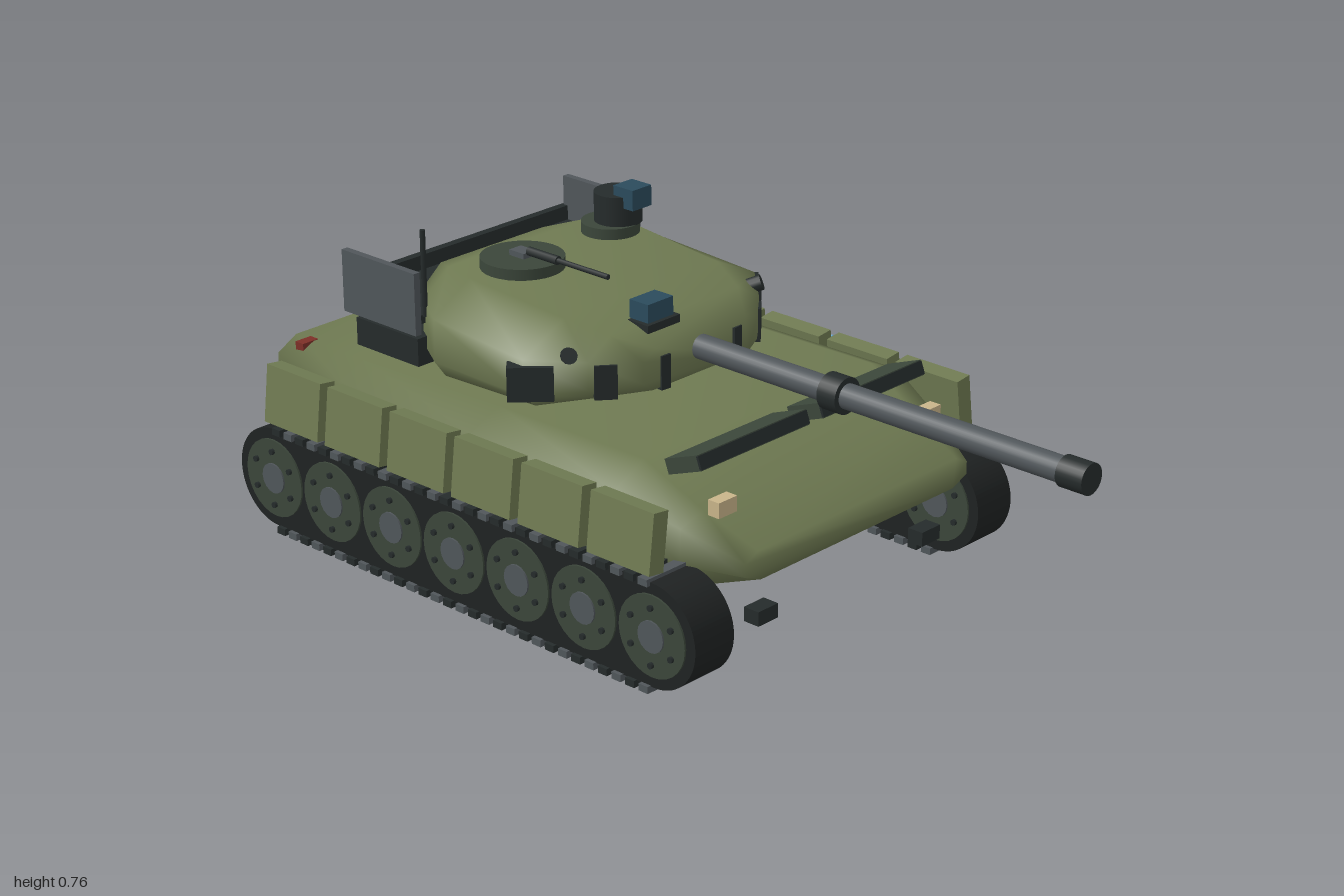
import * as THREE from 'three';

const mat = (color) => new THREE.MeshStandardMaterial({ color });
const olive = mat(0x6f7a52), darkGreen = mat(0x3b463a), black = mat(0x252b2b), rubber = mat(0x1f2222);
const steel = mat(0x50565a), glass = mat(0x2b4b5c), skyBlue = mat(0x6aaed6), lamp = mat(0xc8b48a), red = mat(0x7c2f27);

function add(parent, name, geometry, material, x = 0, y = 0, z = 0) {
  const mesh = new THREE.Mesh(geometry, material);
  mesh.name = name;
  mesh.position.set(x, y, z);
  parent.add(mesh);
  return mesh;
}
const box = (w, h, d) => new THREE.BoxGeometry(w, h, d);
const cyl = (r, h, n = 24) => new THREE.CylinderGeometry(r, r, h, n);
const cylZ = (r, h, n) => cyl(r, h, n).rotateX(Math.PI / 2);
const cylX = (r, h, n) => cyl(r, h, n).rotateZ(Math.PI / 2);

// Smooth body lofted from back to front through eight-sided sections:
// [z, topHalf, sideHalf, bottomHalf, yTop, yShoulder, yLow, yBottom]
function loft(sections) {
  const pos = [], idx = [], n = 8, last = (sections.length - 1) * n;
  for (const [z, t, s, b, yt, ys, yl, yb] of sections) {
    for (const [x, y] of [[b, yb], [s, yl], [s, ys], [t, yt], [-t, yt], [-s, ys], [-s, yl], [-b, yb]]) pos.push(x, y, z);
  }
  for (let i = 0; i < last; i += n) {
    for (let j = 0; j < n; j++) {
      const a = i + j, b = i + (j + 1) % n;
      idx.push(a, b, b + n, a, b + n, a + n);
    }
  }
  for (let j = 1; j < n - 1; j++) {
    idx.push(0, j + 1, j, last, last + j, last + j + 1);
  }
  const g = new THREE.BufferGeometry();
  g.setAttribute('position', new THREE.Float32BufferAttribute(pos, 3));
  g.setIndex(idx);
  g.computeVertexNormals();
  return g;
}

function buildTrack(side) {
  const track = new THREE.Group();
  track.name = side > 0 ? 'leftTrack' : 'rightTrack';
  const front = 0.297, back = -0.877, x = side * 0.4545, y = 0.133, r = 0.118;

  // Belt: rounded loop extruded across the track width
  const shape = new THREE.Shape();
  shape.absarc(-front, y, r, Math.PI / 2, Math.PI * 1.5, false);
  shape.absarc(-back, y, r, -Math.PI / 2, Math.PI / 2, false);
  const belt = new THREE.ExtrudeGeometry(shape, { depth: 0.115, bevelEnabled: false, curveSegments: 20 });
  belt.rotateY(Math.PI / 2).translate(-0.0575, 0, 0);
  add(track, 'trackBelt', belt, rubber, x);

  // Road wheels with hubs and bolts, showing on both faces
  for (let i = 0; i < 7; i++) {
    const z = front - i * (front - back) / 6;
    add(track, 'roadWheel', cylX(0.093, 0.124, 28), darkGreen, x, y, z);
    add(track, 'wheelHub', cylX(0.036, 0.132, 16), steel, x, y, z);
    for (let k = 0; k < 6; k++) {
      const a = k * Math.PI / 3 + Math.PI / 6;
      add(track, 'wheelBolt', cylX(0.007, 0.138, 8), black, x, y + Math.sin(a) * 0.065, z + Math.cos(a) * 0.065);
    }
  }
  // Track links along the straight runs
  for (let i = 0; i < 30; i++) {
    const z = front - 0.02 - i * (front - back - 0.04) / 29;
    for (const ly of [0.009, 0.251]) add(track, 'trackLink', box(0.134, 0.016, 0.026), i % 2 ? black : steel, x, ly, z);
  }
  return track;
}

function buildTurret() {
  const turret = new THREE.Group();
  turret.name = 'turret';
  add(turret, 'turretShell', loft([
    [-0.69, 0.16, 0.21, 0.18, 0.6, 0.56, 0.48, 0.44],
    [-0.6, 0.22, 0.3, 0.27, 0.628, 0.57, 0.47, 0.43],
    [-0.5, 0.25, 0.36, 0.33, 0.635, 0.57, 0.47, 0.43],
    [-0.22, 0.24, 0.365, 0.33, 0.612, 0.552, 0.47, 0.438],
    [-0.12, 0.2, 0.27, 0.23, 0.587, 0.545, 0.48, 0.455],
    [-0.045, 0.14, 0.18, 0.15, 0.56, 0.54, 0.49, 0.468],
  ]), olive);

  // Main gun
  add(turret, 'gunBarrel', cylZ(0.028, 1.0, 24), steel, 0, 0.525, 0.45);
  add(turret, 'gunCollar', cylZ(0.041, 0.05, 24), black, 0, 0.525, 0.345);
  add(turret, 'muzzle', cylZ(0.034, 0.065, 24), black, 0, 0.525, 0.9675);

  // Armour blocks and smoke tubes on the cheeks
  for (const s of [-1, 1]) {
    for (const [x, z, w, a] of [[0.348, -0.215, 0.1, 0.8], [0.232, -0.107, 0.05, 0.7], [0.112, -0.06, 0.026, 0.1]]) {
      add(turret, 'cheekBlock', box(w, 0.078, 0.04), black, s * x, 0.5, z).rotation.y = s * a;
    }
    const tube = add(turret, 'smokeTube', cylZ(0.018, 0.05, 12), black, s * 0.288, 0.556, -0.16);
    tube.rotation.set(-0.35, s * 0.7, 0, 'YXZ');
  }

  // Roof hatch with machine gun
  add(turret, 'roofHatch', cyl(0.094, 0.025, 28), darkGreen, -0.147, 0.663, -0.44);
  add(turret, 'hatchHandle', box(0.036, 0.014, 0.045), steel, -0.147, 0.681, -0.44);
  add(turret, 'machineGunBarrel', cylZ(0.006, 0.24, 10), black, -0.175, 0.705, -0.27);
  add(turret, 'machineGunSleeve', cylZ(0.01, 0.09, 10), black, -0.175, 0.705, -0.345);

  // Commander's cupola and sights
  add(turret, 'cupolaRing', cyl(0.067, 0.025, 28), darkGreen, 0.163, 0.656, -0.475);
  add(turret, 'cupola', cyl(0.055, 0.07, 28), black, 0.178, 0.702, -0.465);
  add(turret, 'cupolaSight', box(0.06, 0.048, 0.06), glass, 0.178, 0.736, -0.42);
  add(turret, 'sightBase', box(0.1, 0.018, 0.075), black, -0.07, 0.585, -0.125);
  add(turret, 'gunnerSight', box(0.078, 0.045, 0.055), glass, -0.07, 0.614, -0.125);

  // Rear stowage basket
  add(turret, 'basketFloor', box(0.69, 0.065, 0.2), black, 0, 0.468, -0.67);
  add(turret, 'basketBack', box(0.69, 0.055, 0.02), black, 0, 0.557, -0.797);
  add(turret, 'basketTray', box(0.68, 0.02, 0.23), black, 0, 0.54, -0.69);
  for (const s of [-1, 1]) {
    add(turret, 'basketSide', box(0.017, 0.145, 0.235), steel, s * 0.345, 0.583, -0.683);
    add(turret, 'basketPost', box(0.02, 0.1, 0.02), black, s * 0.2, 0.5, -0.765);
  }
  add(turret, 'antenna', cyl(0.006, 0.2, 8), black, -0.32, 0.648, -0.57);
  return turret;
}

export function createModel() {
  const tank = new THREE.Group();
  tank.name = 'tank';

  add(tank, 'hull', loft([
    [-1, 0.33, 0.385, 0.33, 0.395, 0.365, 0.25, 0.19],
    [-0.75, 0.35, 0.42, 0.36, 0.405, 0.375, 0.25, 0.165],
    [-0.3, 0.36, 0.448, 0.375, 0.424, 0.385, 0.25, 0.165],
    [0.13, 0.36, 0.455, 0.375, 0.428, 0.385, 0.25, 0.165],
    [0.28, 0.34, 0.41, 0.35, 0.35, 0.33, 0.25, 0.185],
    [0.41, 0.32, 0.357, 0.31, 0.293, 0.275, 0.245, 0.226],
  ]), olive);

  for (const s of [-1, 1]) {
    tank.add(buildTrack(s));
    // Side skirts leaning inwards at the top
    for (let i = 0; i < 6; i++) {
      add(tank, 'sideSkirt', box(0.042, 0.135, 0.178), olive, s * 0.491, 0.332, 0.206 - i * 0.2025).rotation.z = s * 0.12;
    }
    // Lamps, tow brackets and tilted front stowage
    add(tank, 'headlight', box(0.055, 0.035, 0.03), lamp, s * 0.328, 0.37, 0.32);
    add(tank, 'tailLight', box(0.045, 0.024, 0.026), red, s * 0.345, 0.387, -0.945);
    add(tank, 'towBracket', box(0.06, 0.033, 0.04), black, s * 0.265, 0.122, 0.37);
    const bin = add(tank, 'frontStowage', box(0.333, 0.034, 0.098), darkGreen, s * 0.189, 0.443, 0.235);
    bin.rotation.x = -0.36;
    add(bin, 'stowageEdge', box(0.334, 0.03, 0.006), black, 0, 0, 0.048);
  }
  add(tank, 'sidePanel', box(0.01, 0.06, 0.135), skyBlue, 0.513, 0.355, -0.178).rotation.z = 0.12;

  tank.add(buildTurret());
  return tank;
}
